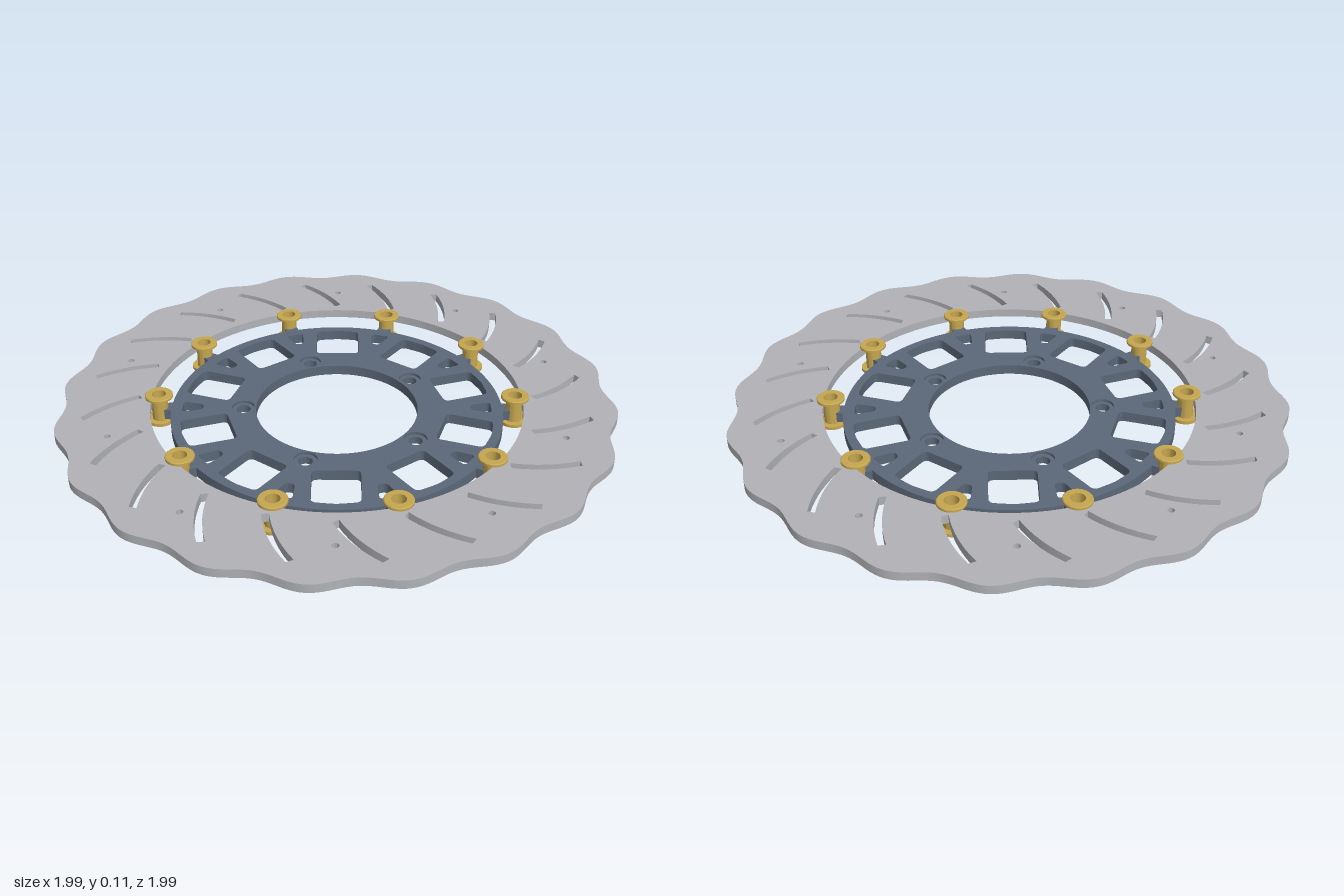
import * as THREE from 'three';
import { toCreasedNormals } from 'three/addons/utils/BufferGeometryUtils.js';

const DEG = Math.PI / 180;
const polar = (r, deg) => new THREE.Vector2(r * Math.cos(deg * DEG), r * Math.sin(deg * DEG));

function material(name, color) {
  const m = new THREE.MeshStandardMaterial({ color });
  m.name = name;
  return m;
}

// Circular hole
function circle(center, r, segments = 20) {
  const pts = [];
  for (let i = 0; i < segments; i++) pts.push(polar(r, (i * 360) / segments).add(center));
  return new THREE.Path(pts);
}

// Rounded hole from [radial, sideways] corners, turned to an angle
function roundedHole(corners, radius, deg) {
  const pts = [];
  corners.forEach(([x, y], i) => {
    const c = new THREE.Vector2(x, y);
    const toward = (p) => new THREE.Vector2(...p).sub(c).setLength(radius).add(c);
    const a = toward(corners.at(i - 1));
    const b = toward(corners[(i + 1) % corners.length]);
    pts.push(...new THREE.QuadraticBezierCurve(a, c, b).getPoints(5));
  });
  return new THREE.Path(pts.map((p) => p.rotateAround(new THREE.Vector2(), deg * DEG)));
}

// Curved vent slot of constant width, sweeping back as it goes outward
function slotHole(deg) {
  const inner = polar(0.71, deg), outer = polar(0.905, deg + 9.5);
  const dir = outer.clone().sub(inner).normalize();
  const side = new THREE.Vector2(dir.y, -dir.x);
  const mid = inner.clone().add(outer).multiplyScalar(0.5).addScaledVector(side, 0.028);
  const line = new THREE.QuadraticBezierCurve(inner, mid, outer).getPoints(8);
  const offset = (d) => line.map((p) => p.clone().addScaledVector(side, d));
  return new THREE.Path([...offset(0.013), ...offset(-0.013).reverse()]);
}

// Lay an extruded plate flat between two heights
function plate(name, shape, y0, y1, mat) {
  const geo = new THREE.ExtrudeGeometry(shape, { depth: y1 - y0, bevelEnabled: false, curveSegments: 12 });
  geo.rotateX(-Math.PI / 2);
  geo.translate(0, y0, 0);
  const mesh = new THREE.Mesh(toCreasedNormals(geo, 0.5), mat);
  mesh.name = name;
  return mesh;
}

// Wavy brake ring with slots and small drilled holes
function rotorShape() {
  const pts = [];
  for (let i = 0; i < 360; i++) {
    pts.push(polar(0.984 + 0.016 * Math.cos(20 * (i - 85) * DEG), i));
  }
  const shape = new THREE.Shape(pts);
  shape.holes.push(circle(new THREE.Vector2(), 0.668, 120));
  for (let i = 0; i < 20; i++) shape.holes.push(slotHole(i * 18));
  for (let i = 0; i < 10; i++) shape.holes.push(circle(polar(0.825, 18 + i * 36), 0.012, 12));
  return shape;
}

// Central carrier with windows, lightening holes and bolt holes
function carrierShape(boltRadius) {
  const pts = [];
  for (let i = 0; i < 10; i++) {
    const a = i * 36;
    // small ear that reaches into each bobbin
    pts.push(polar(0.6, a - 2.6), polar(0.635, a - 2.1), polar(0.64, a), polar(0.635, a + 2.1));
    for (let d = 2.6; d < 33; d += 2.2) pts.push(polar(0.6, a + d));
  }
  const shape = new THREE.Shape(pts);
  shape.holes.push(circle(new THREE.Vector2(), 0.293, 96));
  for (let i = 0; i < 10; i++) {
    shape.holes.push(roundedHole(
      [[0.39, -0.083], [0.56, -0.083], [0.57, 0], [0.56, 0.083], [0.39, 0.083]], 0.02, 18 + i * 36));
    shape.holes.push(roundedHole(
      [[0.485, -0.016], [0.56, -0.034], [0.56, 0.034], [0.485, 0.016]], 0.015, i * 36));
  }
  for (let i = 0; i < 5; i++) shape.holes.push(circle(polar(0.34, i * 72), boltRadius, 24));
  return shape;
}

export function createModel() {
  const steel = material('brushed steel', 0xb2b3b7);
  const slate = material('slate blue metal', 0x5b6878);
  const gold = material('gold metal', 0xc6a750);

  const model = new THREE.Group();
  model.name = 'brakeDisc';

  model.add(plate('rotor', rotorShape(), 0.067, 0.099, steel));

  // Carrier in two layers, so the bolt holes are counterbored
  const carrier = new THREE.Group();
  carrier.name = 'carrier';
  carrier.add(plate('carrierBase', carrierShape(0.025), 0.018, 0.046, slate));
  carrier.add(plate('carrierTop', carrierShape(0.041), 0.046, 0.056, slate));
  model.add(carrier);

  // Hollow flanged bobbins joining carrier and rotor
  const profile = [
    [0.025, 0], [0.05, 0], [0.05, 0.012], [0.03, 0.012], [0.03, 0.099],
    [0.05, 0.099], [0.05, 0.107], [0.047, 0.11], [0.025, 0.11], [0.025, 0],
  ].map(([x, y]) => new THREE.Vector2(x, y));
  const bobbinGeo = toCreasedNormals(new THREE.LatheGeometry(profile, 32), 0.5);
  for (let i = 0; i < 10; i++) {
    const bobbin = new THREE.Mesh(bobbinGeo, gold);
    const p = polar(0.643, i * 36);
    bobbin.position.set(p.x, 0, -p.y);
    bobbin.name = 'bobbin';
    model.add(bobbin);
  }
  return model;
}
